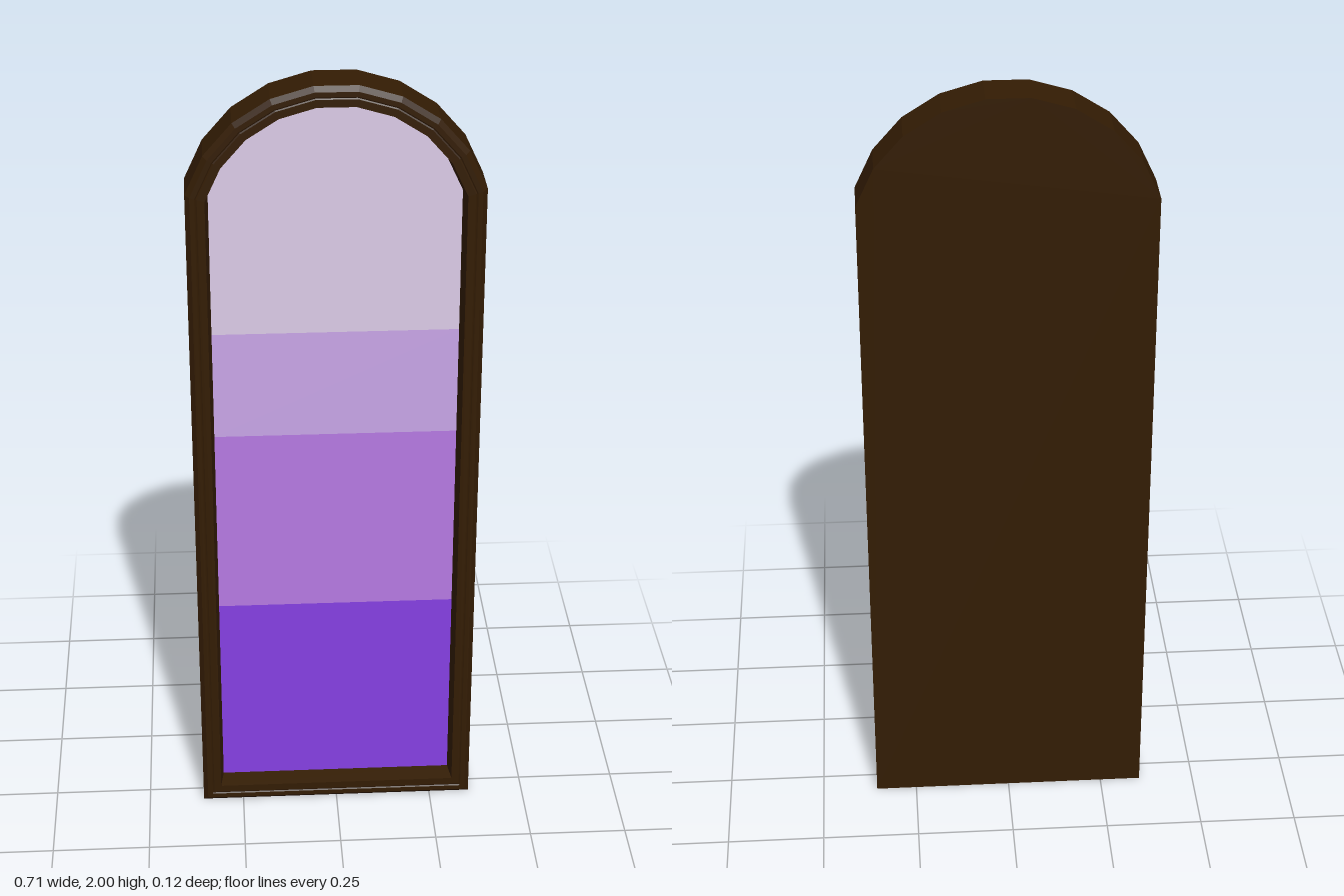
import * as THREE from 'three';

const HALF = 0.356, RADIUS = 0.372, ARCH_Y = 1.632, SEGMENTS = 9;
const SPAN = Math.asin(HALF / RADIUS); // half angle of the arch
const FRAME_WIDTH = 0.057, PANE_Z = 0.012;

// Arch points from right to left, moved inwards by inset
function archPoints(inset) {
  const points = [], r = RADIUS - inset;
  for (let i = 0; i <= SEGMENTS; i++) {
    const a = SPAN * (1 - 2 * i / SEGMENTS);
    points.push(new THREE.Vector2(r * Math.sin(a), ARCH_Y + r * Math.cos(a)));
  }
  return points;
}

// Closed outline with an arched top, counter-clockwise from the bottom left
function outline(inset, bottom = inset) {
  const arch = archPoints(inset), x = arch[0].x;
  return [new THREE.Vector2(-x, bottom), new THREE.Vector2(x, bottom), ...arch];
}

// Sweep a moulding profile of [inset, z] pairs around the outline
function mouldingGeometry(profile) {
  const rings = profile.map(([inset, z]) =>
    outline(inset).map(p => new THREE.Vector3(p.x, p.y, z)));
  const positions = [];
  for (let k = 0; k < rings.length - 1; k++) {
    const n = rings[k].length;
    for (let i = 0; i < n; i++) {
      const j = (i + 1) % n;
      const a = rings[k][i], b = rings[k][j], c = rings[k + 1][j], d = rings[k + 1][i];
      for (const v of [a, b, c, a, c, d]) positions.push(v.x, v.y, v.z);
    }
  }
  const geometry = new THREE.BufferGeometry();
  geometry.setAttribute('position', new THREE.Float32BufferAttribute(positions, 3));
  geometry.computeVertexNormals();
  return geometry;
}

function material(name, color) {
  const m = new THREE.MeshStandardMaterial({ color });
  m.name = name;
  return m;
}

export function createModel() {
  const group = new THREE.Group();
  group.name = 'archedWindow';
  const add = (name, geometry, mat) => {
    const mesh = new THREE.Mesh(geometry, mat);
    mesh.name = name;
    group.add(mesh);
    return mesh;
  };

  const wood = material('dark wood', 0x331c03);

  // Frame: side wall, bevelled lip, faint groove and sloping inner wall
  add('frame', mouldingGeometry([
    [0, -0.06], [0, 0.048], [0.012, 0.06], [0.024, 0.06], [0.027, 0.058],
    [0.03, 0.06], [0.049, 0.06], [FRAME_WIDTH, PANE_Z],
  ]), wood);

  // Flat back panel
  const back = add('backPanel', new THREE.ShapeGeometry(new THREE.Shape(outline(0))), wood);
  back.rotation.y = Math.PI;
  back.position.z = -0.06;

  // Pane in four bands, palest at the arched top
  const bands = [
    ['deepViolet', 0x8540e3, FRAME_WIDTH, 0.585],
    ['violet', 0xb67ae3, 0.585, 1.08],
    ['lilac', 0xc9a6e8, 1.08, 1.36],
    ['paleLilac', 0xdccce8, 1.36, null],
  ];
  const x = archPoints(FRAME_WIDTH)[0].x;
  for (const [name, color, y0, y1] of bands) {
    const points = y1 === null ? outline(FRAME_WIDTH, y0) : [
      new THREE.Vector2(-x, y0), new THREE.Vector2(x, y0),
      new THREE.Vector2(x, y1), new THREE.Vector2(-x, y1),
    ];
    const pane = add(name + 'Pane', new THREE.ShapeGeometry(new THREE.Shape(points)), material(name, color));
    pane.position.z = PANE_Z;
  }

  return group;
}
